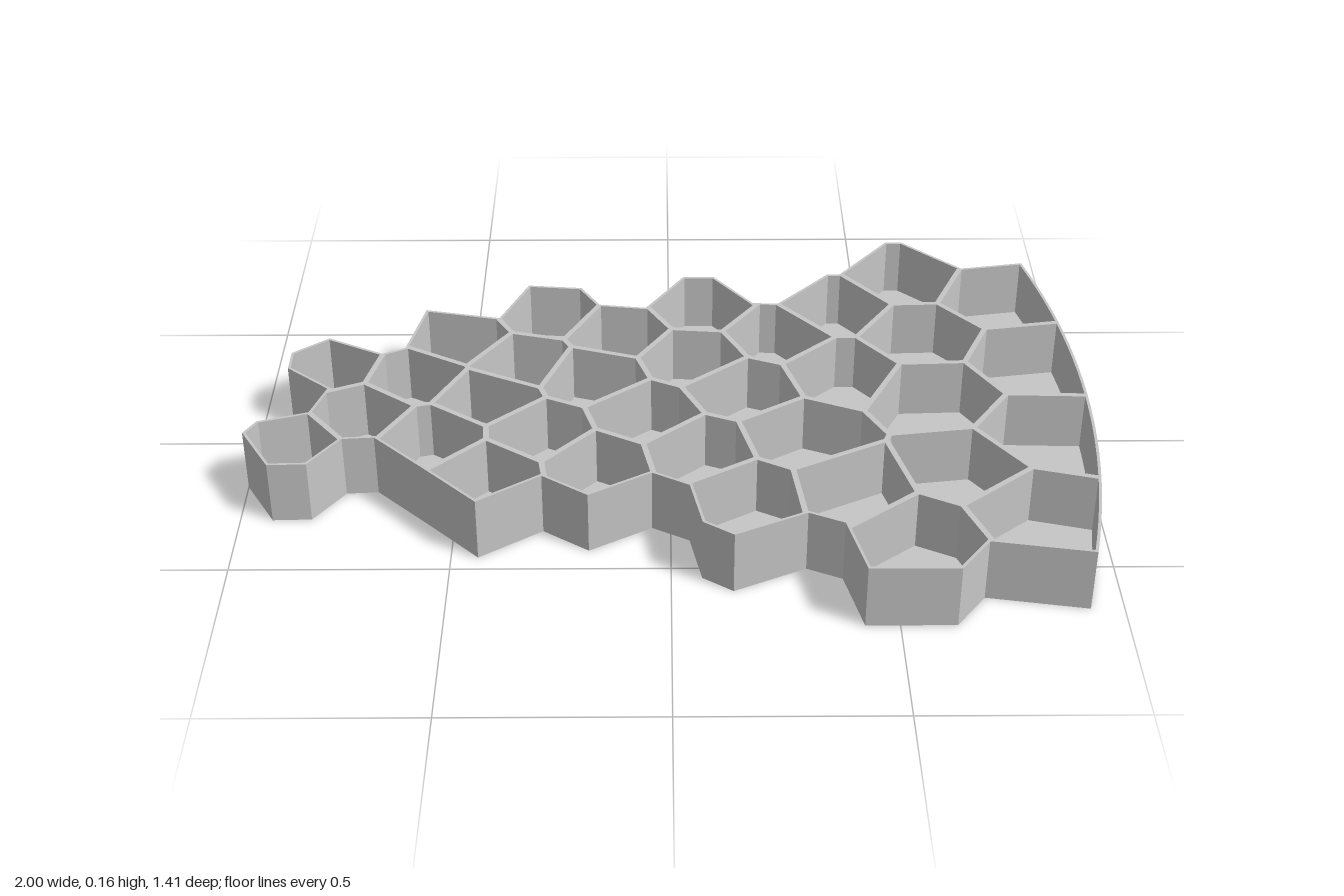
import * as THREE from 'three';

// Plan coordinates are x, z pairs; UNIT of them make one model unit.
const UNIT = 187;
const HEIGHT = 0.157;
const FLOOR = 0.012;
const HALF_WALL = 1.25;

const pairs = (list) => {
  const points = [];
  for (let i = 0; i < list.length; i += 2) points.push(new THREE.Vector2(list[i], list[i + 1]));
  return points;
};

// One seed per cell
const seeds = pairs([
  -154, -21, -166, 39, -138, 17, -116, -12, -98, -44, -57, -67, -24, -50,
  15, -72, 50, -47, 78, -71, 114, -100, 157, -81, 116, -46, 166, -24,
  -68, -24, -82, 5, -104, 36, -78, 63, -57, 33, -36, -12, -32, 56,
  -12, 19, 11, -28, 32, -2, 12, 47, 32, 80, 56, 36, 78, -16,
  118, 4, 76, 75, 126, 62, 102, 108, 149, 90, 164, 35,
]);

// Jagged back edge, left to right
const backEdge = pairs([
  -174, -31, -158, -43.5, -132, -30, -122, -35, -115, -68.5, -80, -61, -67.5, -91,
  -42, -88.5, -33, -73, -11, -70, 7, -98.5, 22, -98.5, 40, -74, 52, -73.5,
  77, -100.5, 83, -100.5, 108, -131.8, 116, -131.8, 143, -106,
]);

// Jagged front edge, right to left
const frontEdge = pairs([
  130, 114, 117, 131.8, 79, 131.8, 72, 101, 57, 94, 26, 109, 13, 100, 8, 74,
  -8, 65, -35, 81, -55, 67, -82, 85.5, -105, 62, -129, 38, -143, 39,
  -156, 58, -173, 58.5, -187, 34, -182, 25, -160, 18, -154, -1, -174, -18,
]);

// Shallow arc closing the wide end
function arcEdge(radius = 490, steps = 24) {
  const from = Math.asin(-116 / radius), to = Math.asin(116.5 / radius);
  return Array.from({ length: steps + 1 }, (_, i) => {
    const a = from + ((to - from) * i) / steps;
    return new THREE.Vector2(187 - radius + radius * Math.cos(a), 5 + radius * Math.sin(a));
  });
}

// Keep the part of a convex polygon on the side of a line its normal points to
function clip(polygon, origin, normal) {
  const side = (p) => (p.x - origin.x) * normal.x + (p.y - origin.y) * normal.y;
  const kept = [];
  polygon.forEach((p, i) => {
    const q = polygon[(i + 1) % polygon.length];
    const a = side(p), b = side(q);
    if (a >= 0) kept.push(p);
    if ((a >= 0) !== (b >= 0)) kept.push(p.clone().lerp(q, a / (a - b)));
  });
  return kept;
}

function nearestSeed(point) {
  return seeds.reduce((best, s) =>
    s.distanceToSquared(point) < best.distanceToSquared(point) ? s : best);
}

// Open space of one cell: bounded by its neighbours and its own outer edges.
// It winds opposite to the outline, so the inner wall faces look into the cell.
function cellOpening(seed, outline) {
  let cell = pairs([-300, -300, -300, 300, 300, 300, 300, -300]);
  const cut = (point, normal) => {
    cell = clip(cell, point.clone().addScaledVector(normal, HALF_WALL), normal);
  };
  for (const other of seeds) {
    if (other === seed) continue;
    cut(seed.clone().add(other).multiplyScalar(0.5), seed.clone().sub(other).normalize());
  }
  outline.forEach((a, i) => {
    const b = outline[(i + 1) % outline.length];
    const middle = a.clone().add(b).multiplyScalar(0.5);
    if (nearestSeed(middle) !== seed) return;
    const normal = new THREE.Vector2(a.y - b.y, b.x - a.x).normalize();
    if (normal.dot(seed.clone().sub(middle)) < 0) normal.negate();
    cut(middle, normal);
  });
  return cell;
}

const toShapePoints = (points) => points.map((p) => new THREE.Vector2(p.x / UNIT, -p.y / UNIT));

// Extrude a plan shape upward from a base height
function raise(shape, base, height) {
  const geometry = new THREE.ExtrudeGeometry(shape, { depth: height, bevelEnabled: false });
  geometry.rotateX(-Math.PI / 2);
  geometry.translate(0, base, 0);
  return geometry;
}

export function createModel() {
  const model = new THREE.Group();
  model.name = 'cellTray';
  // Double-sided, as the walls are very thin
  const grey = new THREE.MeshStandardMaterial({ color: 0xc6c6c6, side: THREE.DoubleSide });
  grey.name = 'grey';

  const outline = [...backEdge, ...arcEdge(), ...frontEdge];

  // Thin base plate
  const floor = new THREE.Mesh(raise(new THREE.Shape(toShapePoints(outline)), 0, FLOOR), grey);
  floor.name = 'floor';

  // Honeycomb-like walls, open at the top
  const wallShape = new THREE.Shape(toShapePoints(outline));
  for (const seed of seeds) {
    wallShape.holes.push(new THREE.Path(toShapePoints(cellOpening(seed, outline))));
  }
  const walls = new THREE.Mesh(raise(wallShape, FLOOR, HEIGHT - FLOOR), grey);
  walls.name = 'cellWalls';

  model.add(floor, walls);
  return model;
}
